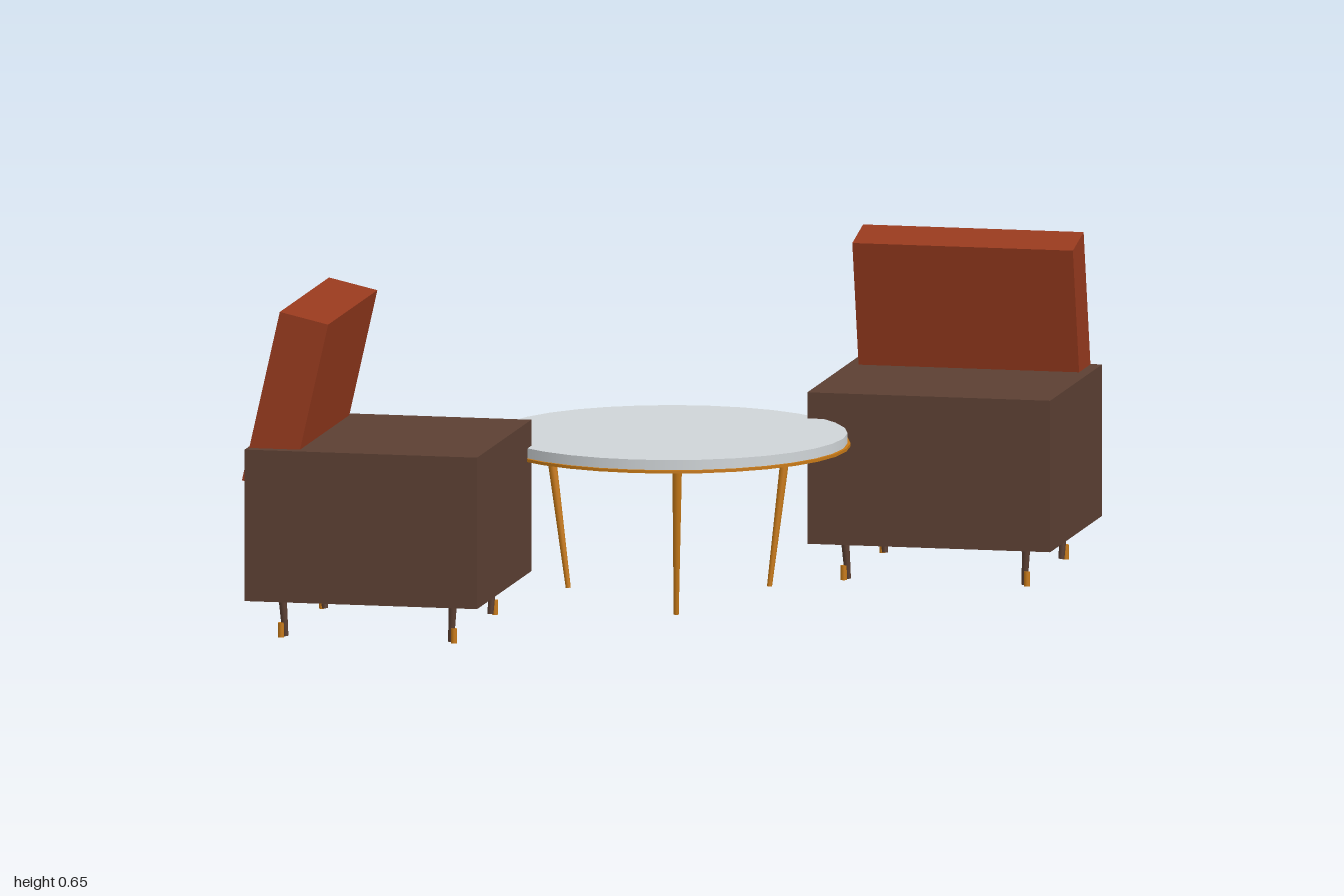
import * as THREE from 'three';

const mat = (color) => new THREE.MeshStandardMaterial({ color });

export function createModel() {
  const brown = mat(0x5c4033), rust = mat(0x973a1e), brass = mat(0xc87a17), glass = mat(0xd0d5d8);
  const model = new THREE.Group();

  const add = (parent, name, geometry, material, x, y, z) => {
    const mesh = new THREE.Mesh(geometry, material);
    mesh.name = name;
    mesh.position.set(x, y, z);
    parent.add(mesh);
    return mesh;
  };

  // Tapered round leg between two points
  const addLeg = (parent, name, top, bottom, rTop, rBottom, material) => {
    const dir = top.clone().sub(bottom);
    const mid = top.clone().add(bottom).multiplyScalar(0.5);
    const leg = add(parent, name, new THREE.CylinderGeometry(rTop, rBottom, dir.length(), 12), material, mid.x, mid.y, mid.z);
    leg.quaternion.setFromUnitVectors(new THREE.Vector3(0, 1, 0), dir.normalize());
  };

  // Two armless chairs turned towards the table
  for (const side of [-1, 1]) {
    const chair = new THREE.Group();
    chair.name = side > 0 ? 'leftChair' : 'rightChair';
    chair.position.x = side * 0.661;
    chair.rotation.y = -side * Math.PI / 4;
    model.add(chair);

    add(chair, 'seatBase', new THREE.BoxGeometry(0.49, 0.302, 0.469), brown, 0, 0.231, 0);

    // Back cushion, sunk into the base and poking out of its rear face
    const back = add(chair, 'backCushion', new THREE.BoxGeometry(0.445, 0.347, 0.1), rust, 0, 0.475, -0.158);
    back.rotation.x = 0.222;

    // Legs lean inwards, with an upright brass foot beside each
    for (const sx of [-1, 1]) for (const sz of [-1, 1]) {
      addLeg(chair, 'chairLeg',
        new THREE.Vector3(sx * 0.184, 0.1, sz * 0.173),
        new THREE.Vector3(sx * 0.178, 0.003, sz * 0.167), 0.009, 0.006, brown);
      add(chair, 'chairFoot', new THREE.CylinderGeometry(0.0062, 0.0062, 0.029, 12), brass, sx * 0.185, 0.0155, sz * 0.1745);
    }
  }

  // Round table with a thin brass rim under the top
  const table = new THREE.Group();
  table.name = 'table';
  model.add(table);
  add(table, 'tableTop', new THREE.CylinderGeometry(0.347, 0.347, 0.021, 32), glass, 0, 0.3195, 0);
  add(table, 'tableRim', new THREE.CylinderGeometry(0.353, 0.353, 0.006, 32), brass, 0, 0.307, 0);
  for (let i = 0; i < 3; i++) {
    const a = i * Math.PI * 2 / 3, c = Math.cos(a), s = Math.sin(a);
    addLeg(table, 'tableLeg',
      new THREE.Vector3(0.272 * c, 0.305, 0.272 * s),
      new THREE.Vector3(0.229 * c, 0.004, 0.229 * s), 0.0095, 0.005, brass);
  }
  return model;
}
